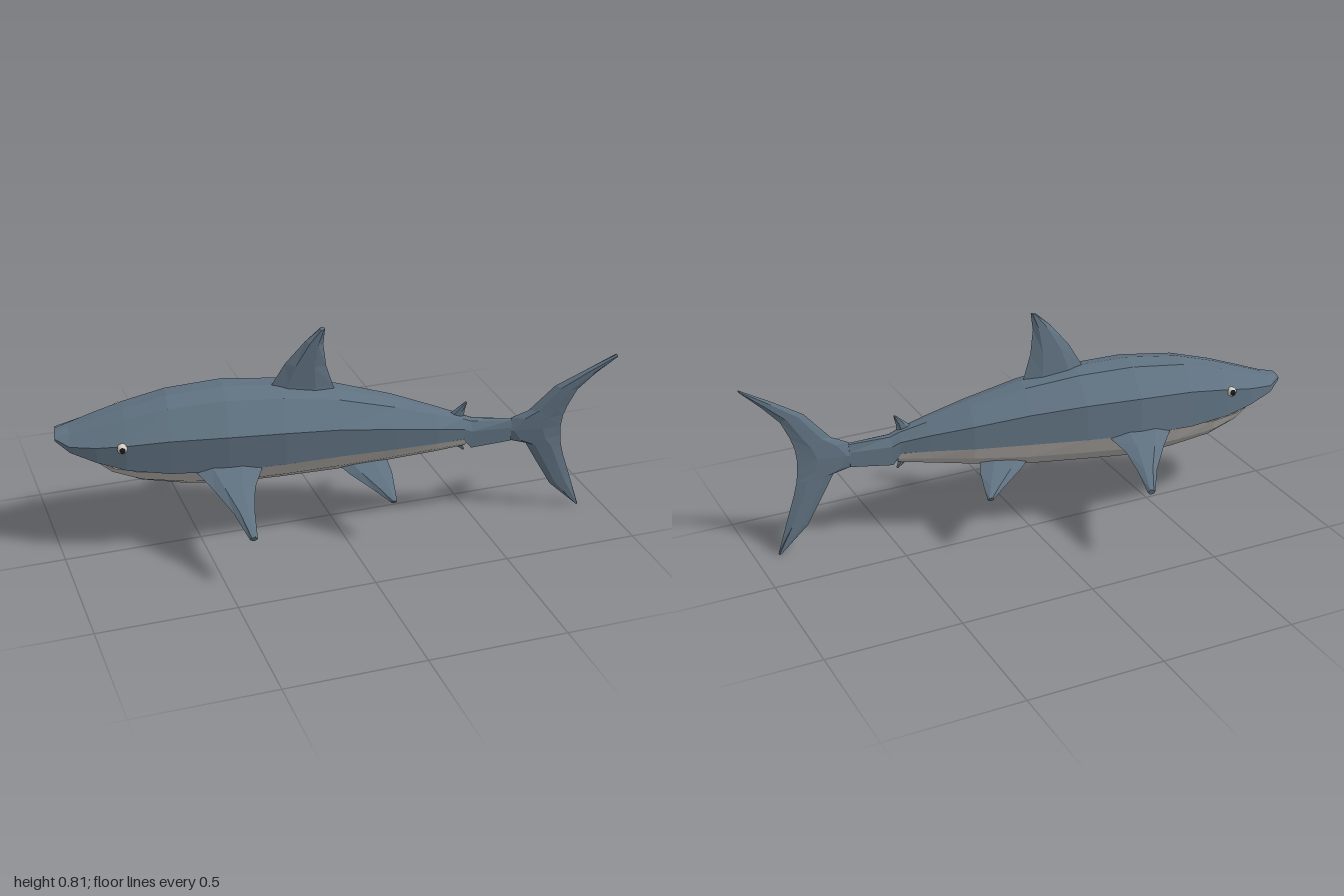
import * as THREE from 'three';

const BLUE = 0x5f7180, BELLY = 0xb0aca8, PINK = 0xc8606a, EYE = 0xd8d0c4, PUPIL = 0x15181a;

// Swimming curve of the spine: [x, z]
const SPINE = [[-1, -0.098], [-0.9, -0.085], [-0.8, -0.062], [-0.6, -0.03], [-0.4, 0], [-0.2, 0.035],
  [0, 0.07], [0.2, 0.11], [0.4, 0.16], [0.6, 0.195], [0.8, 0.235], [1, 0.27]];
function spineZ(x) {
  let i = 1;
  while (i < SPINE.length - 1 && SPINE[i][0] < x) i++;
  const [x0, z0] = SPINE[i - 1], [x1, z1] = SPINE[i];
  return z0 + (z1 - z0) * (x - x0) / (x1 - x0);
}

// Takes a point of the straight fish (x along, y up, v sideways) to its rolled and bent pose
function pose(x, y, v) {
  const roll = 0.1, side = v + roll * (y - 0.42);
  return new THREE.Vector3(x - 0.17 * side, y - roll * v, spineZ(x) + side);
}

const material = color => new THREE.MeshStandardMaterial({ color, flatShading: true, roughness: 0.8 });

// Skins closed rings of [x, y, v] and caps both ends
function loft(name, rings, color) {
  const n = rings[0].length, pts = rings.flat().map(p => pose(...p)), tris = [];
  for (let r = 0; r < rings.length - 1; r++) {
    for (let i = 0; i < n; i++) {
      const a = r * n + i, b = r * n + (i + 1) % n;
      tris.push([a, b, a + n], [b, b + n, a + n]);
    }
  }
  const last = (rings.length - 1) * n;
  for (let i = 1; i < n - 1; i++) tris.push([0, i + 1, i], [last, last + i, last + i + 1]);
  // Turn the faces outwards whichever way the rings run
  const centre = pts.reduce((s, p) => s.add(p), new THREE.Vector3()).divideScalar(pts.length);
  let volume = 0;
  for (const t of tris) {
    const [a, b, c] = t.map(i => pts[i].clone().sub(centre));
    volume += a.dot(b.cross(c));
  }
  if (volume < 0) tris.forEach(t => t.reverse());
  const geo = new THREE.BufferGeometry().setFromPoints(tris.flat().map(i => pts[i]));
  geo.computeVertexNormals();
  const mesh = new THREE.Mesh(geo, material(color));
  mesh.name = name;
  return mesh;
}

// Ring from a half outline [v, y], mirrored to the other side
const mirrorRing = (x, half) => [
  ...half.map(([v, y]) => [x, y, v]),
  ...half.slice().reverse().filter(([v]) => v > 0).map(([v, y]) => [x, y, -v])];

// Fin with a six-sided section; rows are [lead point, trail point] from root to tip
function fin(name, rows, normal, thick) {
  const rings = rows.map(([lead, trail], k) => {
    const t = thick * (1 - 0.45 * k / (rows.length - 1));
    const at = (f, s) => lead.map((c, j) => c + (trail[j] - c) * f + normal[j] * s * t);
    return [at(0, 0), at(0.25, 1), at(0.7, 1), at(1, 0), at(0.7, -1), at(0.25, -1)];
  });
  return loft(name, rings, BLUE);
}

// Upright fin from rows [lead x, lead y, trail x, trail y]
const uprightFin = (name, rows, thick) =>
  fin(name, rows.map(([a, b, c, d]) => [[a, b, 0], [c, d, 0]]), [0, 0, 1], thick);

// Slanted side fin from rows [v, lead x, trail x], falling outwards from height y0
function sideFin(name, side, rows, y0, slope, thick) {
  const len = Math.hypot(1, slope);
  return fin(name, rows.map(([v, a, b]) => {
    const y = y0 - slope * (v - rows[0][0]);
    return [[a, y, v * side], [b, y, v * side]];
  }), [0, 1 / len, side * slope / len], thick);
}

export function createModel() {
  const shark = new THREE.Group();
  shark.name = 'shark';

  // Back, snout and tail stem: [x, top, half width, flank height, lower edge]
  const upper = [
    [-0.99, 0.472, 0.04, 0.464, 0.455], [-0.94, 0.482, 0.083, 0.452, 0.428], [-0.85, 0.512, 0.116, 0.462, 0.4],
    [-0.75, 0.545, 0.14, 0.478, 0.376], [-0.6, 0.585, 0.158, 0.495, 0.36], [-0.4, 0.605, 0.17, 0.5, 0.36],
    [-0.2, 0.595, 0.158, 0.493, 0.362], [0, 0.565, 0.132, 0.475, 0.362], [0.2, 0.51, 0.105, 0.445, 0.36],
    [0.35, 0.46, 0.07, 0.415, 0.355], [0.45, 0.426, 0.04, 0.39, 0.345], [0.48, 0.412, 0.034, 0.375, 0.305],
    [0.63, 0.398, 0.012, 0.365, 0.31]];
  shark.add(loft('back', upper.map(([x, t, w, m, b]) =>
    mirrorRing(x, [[0, t], [0.45 * w, t - 0.13 * (t - m)], [w, m], [0.98 * w, b]])), BLUE));

  // Lower jaw and belly: [x, half width, upper edge, bottom]
  const lower = [
    [-0.86, 0.05, 0.372, 0.355], [-0.8, 0.1, 0.366, 0.312], [-0.7, 0.135, 0.362, 0.274], [-0.55, 0.155, 0.362, 0.248],
    [-0.4, 0.167, 0.362, 0.235], [-0.2, 0.155, 0.364, 0.243], [0, 0.129, 0.364, 0.25], [0.2, 0.103, 0.362, 0.273],
    [0.35, 0.068, 0.357, 0.29], [0.46, 0.038, 0.347, 0.304]];
  shark.add(loft('belly', lower.map(([x, w, e, d]) =>
    mirrorRing(x, [[w, e], [0.82 * w, e - 0.5 * (e - d)], [0.48 * w, e - 0.87 * (e - d)], [0, d]])), BELLY));

  // Mouth lining between snout and jaw
  const mouth = [[-0.85, 0.048, 0.405], [-0.8, 0.094, 0.395], [-0.7, 0.128, 0.375]];
  shark.add(loft('mouth', mouth.map(([x, w, t]) => mirrorRing(x, [[w, t], [w, 0.36]])), PINK));

  // Dorsal fins and anal fin
  shark.add(uprightFin('dorsalFin', [[-0.25, 0.55, 0, 0.54], [-0.23, 0.6, -0.015, 0.58], [-0.185, 0.68, -0.04, 0.66],
    [-0.115, 0.765, -0.052, 0.75], [-0.065, 0.81, -0.046, 0.812]], 0.02));
  shark.add(uprightFin('rearDorsalFin', [[0.38, 0.42, 0.455, 0.4], [0.42, 0.452, 0.455, 0.445], [0.455, 0.48, 0.463, 0.48]], 0.01));
  shark.add(uprightFin('analFin', [[0.37, 0.33, 0.455, 0.33], [0.42, 0.305, 0.455, 0.305], [0.455, 0.28, 0.463, 0.28]], 0.01));

  // Tail lobes
  shark.add(uprightFin('upperTailLobe', [[0.58, 0.355, 0.815, 0.355], [0.63, 0.402, 0.82, 0.4], [0.69, 0.428, 0.833, 0.44],
    [0.78, 0.527, 0.863, 0.505], [0.89, 0.588, 0.925, 0.57], [0.995, 0.642, 0.998, 0.636]], 0.016));
  shark.add(uprightFin('lowerTailLobe', [[0.58, 0.355, 0.815, 0.355], [0.62, 0.308, 0.817, 0.31], [0.69, 0.288, 0.823, 0.27],
    [0.73, 0.215, 0.835, 0.225], [0.795, 0.1, 0.87, 0.12], [0.9, 0, 0.908, 0.004]], 0.016));

  // Paired fins and eyes
  for (const side of [1, -1]) {
    const label = side > 0 ? 'left' : 'right';
    shark.add(sideFin(label + 'PectoralFin', side, [[0.1, -0.53, -0.28], [0.16, -0.512, -0.285], [0.23, -0.46, -0.318],
      [0.32, -0.402, -0.33], [0.415, -0.36, -0.332]], 0.385, 0.45, 0.02));
    shark.add(sideFin(label + 'PelvicFin', side, [[0.04, -0.03, 0.17], [0.1, 0.035, 0.185], [0.16, 0.115, 0.187],
      [0.2, 0.165, 0.187]], 0.3, 0.62, 0.016));
    const eye = new THREE.Group();
    eye.name = label + 'Eye';
    for (const [name, radius, v, color] of [['eyeball', 0.018, 0.136, EYE], ['pupil', 0.012, 0.145, PUPIL]]) {
      const ball = new THREE.Mesh(new THREE.SphereGeometry(radius, 12, 8), material(color));
      ball.material.flatShading = false;
      ball.name = name;
      ball.position.copy(pose(-0.763, 0.468, v * side));
      eye.add(ball);
    }
    shark.add(eye);
  }
  return shark;
}
